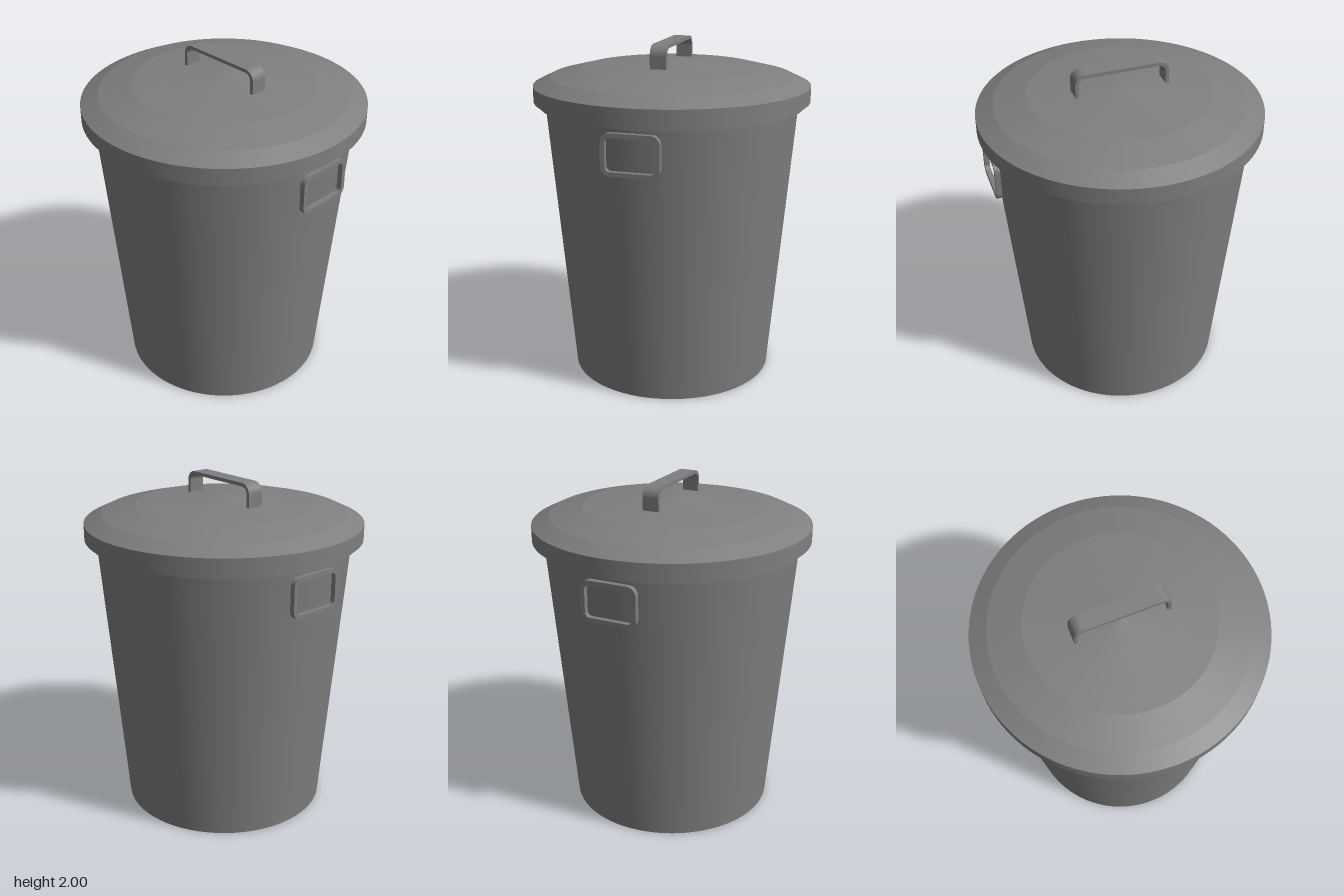
import * as THREE from 'three';
import { mergeGeometries } from 'three/addons/utils/BufferGeometryUtils.js';

const plastic = new THREE.MeshStandardMaterial({ color: 0x7f7f7f });
plastic.name = 'grey plastic';

// Revolved shape, smooth around the axis with a crisp edge at every profile point
function turned(name, profile) {
  const bands = [];
  for (let i = 0; i + 1 < profile.length; i++) {
    const pair = [profile[i], profile[i + 1]].map(([r, y]) => new THREE.Vector2(r, y));
    bands.push(new THREE.LatheGeometry(pair, 96));
  }
  const mesh = new THREE.Mesh(mergeGeometries(bands), plastic);
  mesh.name = name;
  return mesh;
}

// Rounded rectangle centred on the origin
function roundedRect(target, w, h, r) {
  const x = w / 2, y = h / 2;
  target.moveTo(-x + r, -y);
  target.lineTo(x - r, -y);
  target.absarc(x - r, -y + r, r, -Math.PI / 2, 0);
  target.lineTo(x, y - r);
  target.absarc(x - r, y - r, r, 0, Math.PI / 2);
  target.lineTo(-x + r, y);
  target.absarc(-x + r, y - r, r, Math.PI / 2, Math.PI);
  target.lineTo(-x, -y + r);
  target.absarc(-x + r, -y + r, r, Math.PI, Math.PI * 1.5);
  return target;
}

// Flat frame handle standing just off the wall
function sideHandle(name) {
  const shape = roundedRect(new THREE.Shape(), 0.33, 0.235, 0.05);
  shape.holes.push(roundedRect(new THREE.Path(), 0.28, 0.185, 0.027));
  const geometry = new THREE.ExtrudeGeometry(shape, { depth: 0.03, bevelEnabled: false, curveSegments: 8 });
  geometry.translate(0, 1.488, 0.742);
  const mesh = new THREE.Mesh(geometry, plastic);
  mesh.name = name;
  return mesh;
}

// Bent strap running front to back over the lid
function lidHandle() {
  const half = 0.272, top = 2.0, foot = 1.86, r = 0.06, t = 0.02;
  const shape = new THREE.Shape();
  shape.moveTo(half, foot);
  shape.lineTo(half, top - r);
  shape.absarc(half - r, top - r, r, 0, Math.PI / 2);
  shape.lineTo(-half + r, top);
  shape.absarc(-half + r, top - r, r, Math.PI / 2, Math.PI);
  shape.lineTo(-half, foot);
  shape.lineTo(-half + t, foot);
  shape.lineTo(-half + t, top - r);
  shape.absarc(-half + r, top - r, r - t, Math.PI, Math.PI / 2, true);
  shape.lineTo(half - r, top - t);
  shape.absarc(half - r, top - r, r - t, Math.PI / 2, 0, true);
  shape.lineTo(half - t, foot);
  const geometry = new THREE.ExtrudeGeometry(shape, { depth: 0.096, bevelEnabled: false, curveSegments: 10 });
  geometry.translate(0, 0, -0.048).rotateY(Math.PI / 2);
  const mesh = new THREE.Mesh(geometry, plastic);
  mesh.name = 'lidHandle';
  return mesh;
}

export function createModel() {
  const group = new THREE.Group();
  group.name = 'lidded bin';

  group.add(turned('body', [[0, 0], [0.603, 0], [0.742, 1.64]]));
  group.add(turned('rim', [[0.735, 1.63], [0.777, 1.63], [0.777, 1.655], [0.735, 1.655]]));
  group.add(turned('lid', [
    [0, 1.66], [0.81, 1.66], [0.81, 1.75], [0.71, 1.798], [0.52, 1.845], [0, 1.89],
  ]));
  group.add(lidHandle());

  const back = sideHandle('backHandle');
  back.rotation.y = Math.PI;
  group.add(sideHandle('frontHandle'), back);
  return group;
}
